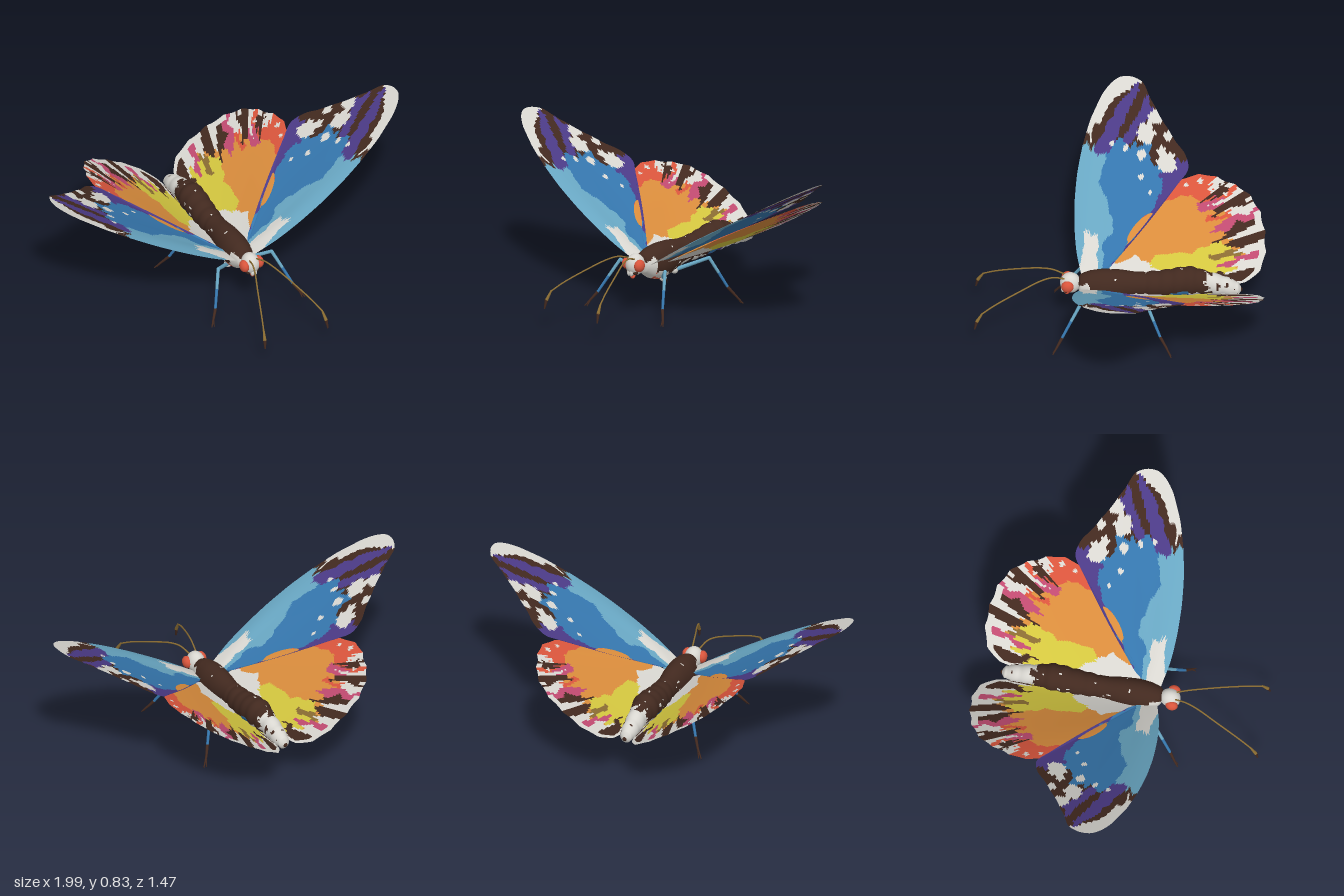
import * as THREE from 'three';

const palette = {
  white: 0xd8d6d0, brown: 0x42291f, purple: 0x4b3a86, blue: 0x3576ad, lightBlue: 0x68a6c2,
  red: 0xd9553c, orange: 0xd98c3c, yellow: 0xd3c63f, magenta: 0xc04a70, olive: 0x8a6c32,
};
const mats = {};
for (const [n, color] of Object.entries(palette)) {
  mats[n] = new THREE.MeshStandardMaterial({ color, side: THREE.DoubleSide });
  mats[n].name = n;
}

// Smooth repeatable noise, 0..1
const hash = (i, j) => { const v = Math.sin(i * 127.1 + j * 311.7) * 43758.5453; return v - Math.floor(v); };
function noise(x, y) {
  const i = Math.floor(x), j = Math.floor(y), f = x - i, g = y - j;
  const mix = THREE.MathUtils.lerp;
  return mix(mix(hash(i, j), hash(i + 1, j), f), mix(hash(i, j + 1), hash(i + 1, j + 1), f), g);
}

// Grid surface whose faces are grouped by colour name
function paintedGrid(name, nu, nv, point, colour) {
  const pos = [], faces = {};
  for (let i = 0; i <= nu; i++) for (let j = 0; j <= nv; j++) pos.push(...point(i / nu, j / nv));
  for (let i = 0; i < nu; i++) for (let j = 0; j < nv; j++) {
    const a = i * (nv + 1) + j, b = a + nv + 1;
    (faces[colour((i + 0.5) / nu, (j + 0.5) / nv)] ??= []).push(a, b, a + 1, b, b + 1, a + 1);
  }
  const geo = new THREE.BufferGeometry(), index = [], used = Object.keys(faces);
  used.forEach((c, k) => {
    geo.addGroup(index.length, faces[c].length, k);
    for (const v of faces[c]) index.push(v);
  });
  geo.setAttribute('position', new THREE.Float32BufferAttribute(pos, 3));
  geo.setIndex(index);
  geo.computeVertexNormals();
  const mesh = new THREE.Mesh(geo, used.map((c) => mats[c]));
  mesh.name = name;
  return mesh;
}

function inside(poly, x, z) {
  let hit = false;
  for (let i = 0, j = poly.length - 1; i < poly.length; j = i++) {
    const [ax, az] = poly[i], [bx, bz] = poly[j];
    if ((az > z) !== (bz > z) && x < ((bx - ax) * (z - az)) / (bz - az) + ax) hit = !hit;
  }
  return hit;
}

// Wing outlines and colour patches as (x, z) seen from above; spots are [x, z, radius]
const foreWing = {
  root: [0.05, 0.12], lift: 0.24, ripple: 0.004, camber: 0.01,
  outline: [[0.04, 0.19], [0.19, 0.225], [0.41, 0.235], [0.62, 0.21], [0.83, 0.145], [0.97, 0.055], [1, -0.03],
    [0.97, -0.1], [0.89, -0.145], [0.8, -0.2], [0.7, -0.27], [0.62, -0.33], [0.565, -0.34], [0.49, -0.285], [0.3, -0.13], [0.1, 0.05]],
  base: 'blue',
  patches: [
    ['lightBlue', [[0, 0.3], [0, 0.08], [0.2, 0.09], [0.27, 0.04], [0.4, 0.07], [0.5, 0.11], [0.6, 0.07], [0.72, 0.12], [0.72, 0.3]]],
    ['white', [[0, 0.22], [0, 0.1], [0.12, 0.11], [0.25, 0.11], [0.26, 0.19], [0.15, 0.2]]],
    ['purple', [[0.08, 0.06], [0.3, -0.1], [0.47, -0.22], [0.54, -0.2], [0.64, -0.28], [0.6, -0.4], [0.4, -0.3]]],
    ['brown', [[0.62, -0.4], [0.6, -0.25], [0.6, -0.17], [0.7, -0.13], [0.66, -0.03], [0.72, 0.02], [0.64, 0.09], [0.66, 0.17], [0.68, 0.24], [0.95, 0.15], [1.06, 0], [0.9, -0.3]]],
    ['purple', [[0.62, 0.15], [0.64, 0.07], [0.78, 0], [0.91, -0.09], [0.96, -0.08], [0.93, -0.03], [0.8, 0.07]]],
    ['purple', [[0.68, 0], [0.68, -0.05], [0.84, -0.15], [0.88, -0.12]]],
    ['white', [[0.97, -0.22], [0.96, -0.08], [0.94, -0.01], [0.87, 0.06], [0.78, 0.12], [0.7, 0.17], [0.68, 0.26], [1.2, 0.2], [1.2, -0.22]]],
    ['blue', [[0.5, -0.06], [0.7, -0.17], [0.69, -0.14], [0.5, 0]]],
  ],
  spots: [[0.595, -0.23, 0.048], [0.73, -0.12, 0.046], [0.65, -0.2, 0.022], [0.81, -0.17, 0.035], [0.63, -0.1, 0.025],
    [0.53, -0.1, 0.012], [0.72, -0.235, 0.022], [0.66, -0.02, 0.018], [0.46, -0.15, 0.01], [0.68, 0.05, 0.014]],
};
const hindWing = {
  root: [0.06, 0.09], lift: 0.222, ripple: 0.012, camber: 0.01,
  outline: [[0.2, 0.03], [0.35, -0.05], [0.475, -0.2], [0.545, -0.35], [0.555, -0.43], [0.52, -0.55], [0.47, -0.645],
    [0.38, -0.71], [0.25, -0.74], [0.14, -0.73], [0.075, -0.685], [0.04, -0.6], [0.035, -0.3]],
  base: 'orange',
  patches: [
    ['yellow', [[0, -0.1], [0.1, -0.12], [0.17, -0.17], [0.2, -0.4], [0.25, -0.54], [0.18, -0.6], [0, -0.6]]],
    ['white', [[0, 0.12], [0.12, 0.09], [0.14, 0], [0.16, -0.08], [0.13, -0.17], [0.08, -0.24], [0, -0.26]]],
    ['red', [[0.25, 0.03], [0.4, -0.18], [0.45, -0.35], [0.4, -0.5], [0.36, -0.75], [0.5, -0.75], [0.7, -0.5], [0.6, 0]]],
    ['magenta', [[0.38, -0.42], [0.42, -0.38], [0.5, -0.62], [0.44, -0.65]]],
    ['magenta', [[0.29, -0.5], [0.32, -0.5], [0.38, -0.72], [0.33, -0.72]]],
    ['red', [[0.33, -0.44], [0.35, -0.44], [0.42, -0.65], [0.39, -0.66]]],
    ['olive', [[0.16, -0.46], [0.18, -0.46], [0.22, -0.68], [0.19, -0.68]]],
  ],
  spots: [[0.48, -0.45, 0.01], [0.52, -0.4, 0.014], [0.46, -0.53, 0.012], [0.5, -0.33, 0.01], [0.51, -0.51, 0.012]],
  // streaks around the rear margin: colour and how far in each begins
  margin: [['white', 0.93], ['brown', 0.82], ['red', 0.9], ['white', 0.82], ['brown', 0.76], ['white', 0.82], ['magenta', 0.72], ['brown', 0.74],
    ['white', 0.82], ['brown', 0.76], ['white', 0.82], ['magenta', 0.76], ['white', 0.8], ['brown', 0.7], ['brown', 0.78], ['white', 0.76], ['brown', 0.76], ['white', 0.84]],
};

// Gently cambered wing fanned out from its root
function wing(name, w, side) {
  const curve = new THREE.CatmullRomCurve3(w.outline.map(([x, z]) => new THREE.Vector3(x, 0, z)));
  const nv = 170;
  const rim = curve.getSpacedPoints(nv * 2);
  const at = (s, t) => {
    const p = rim[Math.round(t * nv * 2)];
    const k = s * (1 - w.ripple * Math.abs(Math.sin(t * 55)) * s);
    return [w.root[0] + (p.x - w.root[0]) * k, w.root[1] + (p.z - w.root[1]) * k];
  };
  const point = (s, t) => {
    const [x, z] = at(s, t);
    return [side * x, w.lift + 0.6 * x + w.camber * Math.sin(t * Math.PI * 2) * Math.sin(s * Math.PI), z];
  };
  const colour = (s, t) => {
    const [x, z] = at(s, t);
    const wobble = 0.75 + 0.5 * noise(x * 60, z * 60);
    for (const [cx, cz, r] of w.spots) if (Math.hypot(x - cx, z - cz) < r * wobble) return 'white';
    // radial streaks along the rear margin
    if (w.margin && t > 0.4 && t < 0.86) {
      const n = w.margin.length, q = (t - 0.4) / 0.46 + (noise(s * 14, t * 30) - 0.5) * 0.07;
      const [c, start] = w.margin[THREE.MathUtils.clamp(Math.floor(q * n), 0, n - 1)];
      if (s > 0.96 && noise(t * 40, 5) > 0.35) return 'white';
      if (s > start + 0.12 * (noise(t * 120, 1) - 0.5)) return c;
    }
    // patch edges feathered along the veins
    const [px, pz] = at(s + (noise(t * 70, s * 6) - 0.5) * 0.1 * s, t);
    const dx = (noise(x * 25, z * 25) - 0.5) * 0.03, dz = (noise(x * 25 + 70, z * 25) - 0.5) * 0.03;
    let c = w.base;
    for (const [n, poly] of w.patches) if (inside(poly, px + dx, pz + dz)) c = n;
    return c;
  };
  return paintedGrid(name, 72, nv, point, colour);
}

// Thorax and abdomen: rings of [z, centre y, half width, half height]
function body() {
  const rings = [[0.22, 0.27, 0.005, 0.005], [0.2, 0.27, 0.045, 0.05], [0.15, 0.262, 0.064, 0.08], [0.08, 0.258, 0.072, 0.094], [0, 0.265, 0.066, 0.085],
    [-0.1, 0.272, 0.055, 0.066], [-0.2, 0.276, 0.062, 0.07], [-0.35, 0.295, 0.068, 0.078], [-0.44, 0.285, 0.052, 0.064],
    [-0.54, 0.265, 0.044, 0.05], [-0.6, 0.25, 0.032, 0.034], [-0.62, 0.245, 0.003, 0.003]];
  const mid = new THREE.CatmullRomCurve3(rings.map((r) => new THREE.Vector3(0, r[1], r[0])));
  const size = new THREE.CatmullRomCurve3(rings.map((r) => new THREE.Vector3(r[2], r[3], 0)));
  const point = (u, v) => {
    const c = mid.getPoint(u), r = size.getPoint(u), a = v * Math.PI * 2;
    const k = c.z < -0.12 ? 0.92 + 0.1 * Math.abs(Math.sin(c.z * 48)) : 1;
    return [-Math.sin(a) * r.x * k, c.y - Math.cos(a) * r.y * k, c.z];
  };
  const colour = (u, v) => {
    const z = mid.getPoint(u).z, n = noise(u * 40, v * 16), low = -Math.cos(v * Math.PI * 2) + (n - 0.5) * 0.5;
    if (z > 0.15) return low > 0.4 ? 'brown' : 'white';
    if (z < -0.45 + (n - 0.5) * 0.06) return n > 0.85 ? 'brown' : 'white';
    if (low > -0.45) return noise(u * 70, v * 40) > 0.9 ? 'white' : 'brown';
    if (z > 0.03) return n > 0.55 ? 'red' : n > 0.25 ? 'white' : 'brown';
    if (z > -0.26) return n > 0.55 ? 'white' : 'brown';
    return z > -0.35 ? (n > 0.6 ? 'purple' : 'blue') : 'white';
  };
  return paintedGrid('body', 110, 48, point, colour);
}

export function createModel() {
  const model = new THREE.Group();
  model.name = 'butterfly';
  const add = (name, geo, mat, x = 0, y = 0, z = 0) => {
    const m = new THREE.Mesh(geo, mats[mat]);
    m.name = name;
    m.position.set(x, y, z);
    model.add(m);
    return m;
  };
  // Tapered rod between two points, with a rounded joint at its start
  const rod = (name, a, b, r0, r1, mat) => {
    const p = new THREE.Vector3(...a), d = new THREE.Vector3(...b).sub(p);
    const m = add(name, new THREE.CylinderGeometry(r1, r0, d.length(), 10), mat);
    m.position.copy(p).addScaledVector(d, 0.5);
    m.quaternion.setFromUnitVectors(new THREE.Vector3(0, 1, 0), d.normalize());
    add(name + 'Joint', new THREE.SphereGeometry(r0, 10, 8), mat, ...a);
  };
  model.add(body());

  // Head with a coiled tongue
  add('head', new THREE.SphereGeometry(0.056, 24, 16), 'white', 0, 0.277, 0.25).scale.set(0.82, 1, 0.95);
  add('tongue', new THREE.TorusGeometry(0.012, 0.006, 8, 20), 'red', 0, 0.223, 0.268).rotation.y = Math.PI / 2;
  add('tailTip', new THREE.SphereGeometry(0.012, 10, 8), 'brown', 0, 0.245, -0.612);

  for (const s of [1, -1]) {
    const side = s > 0 ? 'left' : 'right';
    model.add(wing(side + 'ForeWing', foreWing, s), wing(side + 'HindWing', hindWing, s));
    add(side + 'Eye', new THREE.SphereGeometry(0.032, 20, 14), 'red', s * 0.042, 0.28, 0.264).scale.x = 0.75;
    add(side + 'Cheek', new THREE.SphereGeometry(0.014, 12, 8), 'brown', s * 0.022, 0.243, 0.272);
    add(side + 'Palp', new THREE.SphereGeometry(0.01, 12, 8), 'white', s * 0.008, 0.24, 0.288).scale.y = 1.8;

    // Antenna with a thickened club
    const path = [[0.02, 0.315, 0.28], [0.035, 0.332, 0.34], [0.055, 0.325, 0.4], [0.095, 0.29, 0.5], [0.145, 0.236, 0.63], [0.17, 0.2, 0.695]];
    const curve = new THREE.CatmullRomCurve3(path.map(([x, y, z]) => new THREE.Vector3(s * x, y, z)));
    add(side + 'Antenna', new THREE.TubeGeometry(curve, 40, 0.0042, 8), 'olive');
    rod(side + 'AntennaClub', [s * 0.17, 0.2, 0.695], [s * 0.178, 0.155, 0.722], 0.005, 0.009, 'olive');
    rod(side + 'AntennaTip', [s * 0.178, 0.155, 0.722], [s * 0.182, 0.112, 0.732], 0.009, 0.004, 'brown');

    // Legs: hip, knee, mid shin, shin end, ankle, toe
    const legs = {
      FrontLeg: [[0.035, 0.175, 0.08], [0.155, 0.258, 0.195], [0.19, 0.174, 0.243], [0.225, 0.09, 0.29], [0.25, 0.05, 0.315], [0.27, 0.02, 0.335]],
      HindLeg: [[0.03, 0.195, -0.01], [0.15, 0.255, -0.14], [0.183, 0.175, -0.175], [0.215, 0.095, -0.21], [0.24, 0.05, -0.24], [0.27, 0.008, -0.265]],
    };
    for (const [name, pts] of Object.entries(legs)) {
      const [hip, knee, mid, shin, ankle, toe] = pts.map(([x, y, z]) => [s * x, y, z]);
      const n = side + name;
      add(n + 'Hip', new THREE.SphereGeometry(0.02, 12, 8), 'white', ...hip);
      rod(n + 'Thigh', hip, knee, 0.011, 0.009, 'lightBlue');
      rod(n + 'UpperShin', knee, mid, 0.009, 0.008, 'lightBlue');
      rod(n + 'LowerShin', mid, shin, 0.008, 0.007, 'blue');
      rod(n + 'Ankle', shin, ankle, 0.008, 0.006, 'brown');
      rod(n + 'Foot', ankle, toe, 0.006, 0.003, 'brown');
      rod(n + 'Claw', ankle, [toe[0] - s * 0.015, toe[1], toe[2]], 0.005, 0.002, 'brown');
    }
  }
  return model;
}
